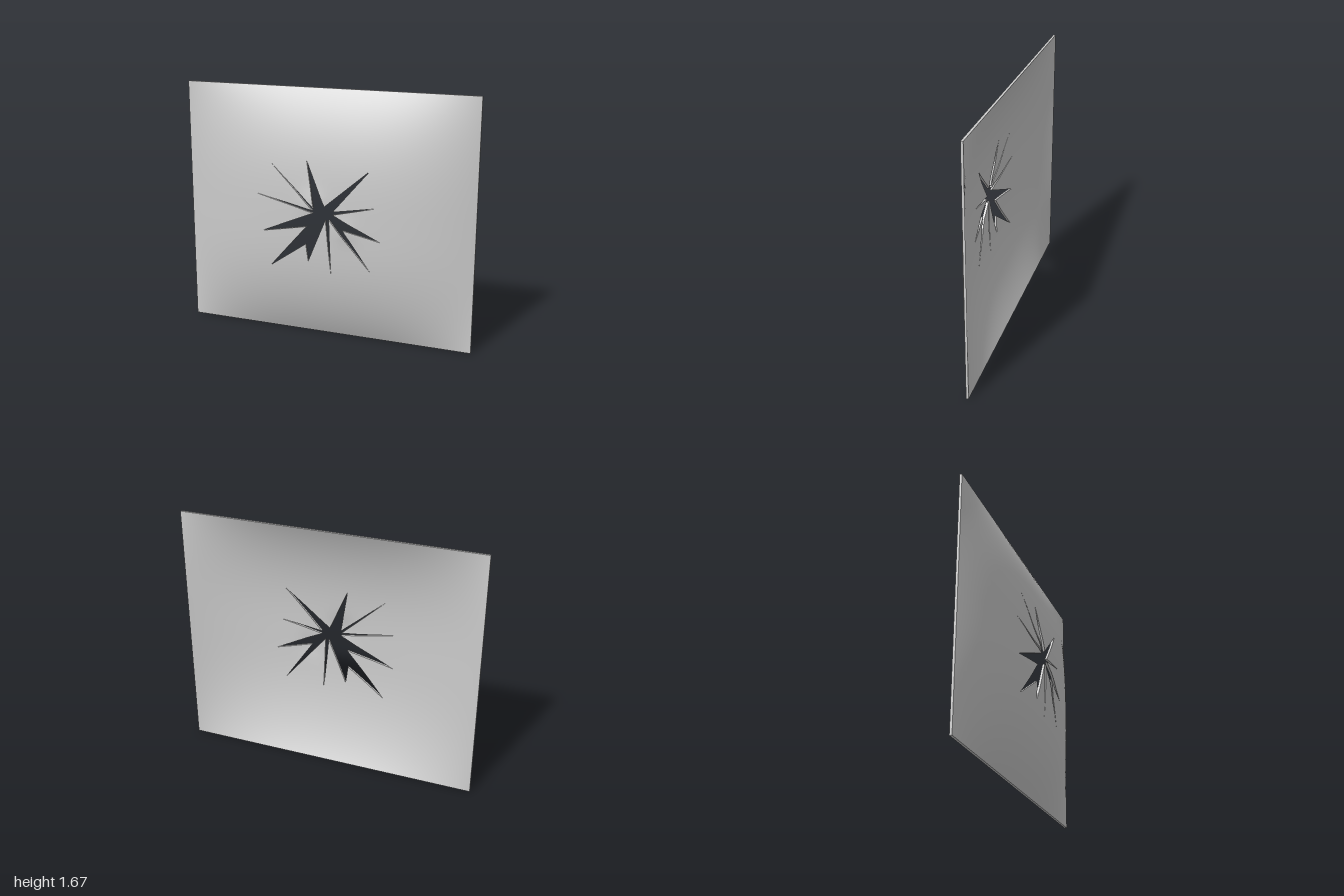
import * as THREE from 'three';

const H = 1.675, THICK = 0.016, MAX_EDGE = 0.07;

// Jagged burst opening, clockwise from the top spike (tip, notch, tip, ...)
const burst = [
  [-0.085, 1.225], [0.045, 0.935], [0.34, 1.187], [0.1, 0.905], [0.39, 0.953], [0.1, 0.885],
  [0.417, 0.73], [0.17, 0.79], [0.352, 0.52], [0.075, 0.85], [0.085, 0.47], [0.052, 0.848],
  [-0.073, 0.55], [-0.087, 0.67], [-0.345, 0.49], [-0.08, 0.79], [-0.4, 0.727], [-0.03, 0.888],
  [-0.445, 0.98], [-0.033, 0.905], [-0.345, 1.2], [-0.028, 0.92],
].map(([x, y]) => new THREE.Vector2(x, y));

const rim = [[-1, 0], [1, 0], [1, H], [-1, H]].map(([x, y]) => new THREE.Vector2(x, y));

// Bulging pillow surface, with small bumps where shards are bent forward
const bump = (x, y, cx, cy, h, r) => h * Math.exp(-((x - cx) ** 2 + (y - cy) ** 2) / (r * r));
function height(x, y) {
  const arch = (t) => 1 - Math.min(1, Math.abs(t)) ** 2.7;
  return -0.08 + 0.16 * arch(x) * arch((y - H / 2) / (H / 2))
    + bump(x, y, -0.04, 0.94, 0.015, 0.09) + bump(x, y, 0.18, 0.78, 0.01, 0.08);
}
function surfaceNormal(x, y) {
  const e = 0.004;
  const slope = (dx, dy) => {
    // one-sided at the rim, so the normals stay clean there
    const x0 = Math.max(-1, x - dx), x1 = Math.min(1, x + dx);
    const y0 = Math.max(0, y - dy), y1 = Math.min(H, y + dy);
    return (height(x1, y1) - height(x0, y0)) / (x1 - x0 + y1 - y0);
  };
  return new THREE.Vector3(-slope(e, 0), -slope(0, e), 1).normalize();
}

// Bisect the longest edge until every edge is short
function splitTriangle(a, b, c, out) {
  const ab = a.distanceTo(b), bc = b.distanceTo(c), ca = c.distanceTo(a);
  const longest = Math.max(ab, bc, ca);
  if (longest <= MAX_EDGE) { out.push(a, b, c); return; }
  if (longest === bc) [a, b, c] = [b, c, a];
  else if (longest === ca) [a, b, c] = [c, a, b];
  const m = a.clone().add(b).multiplyScalar(0.5);
  splitTriangle(a, m, c, out);
  splitTriangle(m, b, c, out);
}
function splitEdge(a, b, out) {
  if (a.distanceTo(b) <= MAX_EDGE) { out.push([a, b]); return; }
  const m = a.clone().add(b).multiplyScalar(0.5);
  splitEdge(a, m, out);
  splitEdge(m, b, out);
}

// Front or back skin of the panel
function skin(flat, back) {
  const pos = [], nor = [];
  for (let i = 0; i < flat.length; i += 3) {
    const tri = back ? [flat[i], flat[i + 2], flat[i + 1]] : flat.slice(i, i + 3);
    for (const p of tri) {
      const n = surfaceNormal(p.x, p.y).multiplyScalar(back ? -1 : 1);
      pos.push(p.x, p.y, height(p.x, p.y) - (back ? THICK : 0));
      nor.push(n.x, n.y, n.z);
    }
  }
  const g = new THREE.BufferGeometry();
  g.setAttribute('position', new THREE.Float32BufferAttribute(pos, 3));
  g.setAttribute('normal', new THREE.Float32BufferAttribute(nor, 3));
  return g;
}

// Thickness wall along a closed outline that keeps the material on its left
function wall(outline) {
  const edges = [], pos = [];
  outline.forEach((p, i) => splitEdge(p, outline[(i + 1) % outline.length], edges));
  for (const [a, b] of edges) {
    const za = height(a.x, a.y), zb = height(b.x, b.y);
    const aF = [a.x, a.y, za], bF = [b.x, b.y, zb];
    const aB = [a.x, a.y, za - THICK], bB = [b.x, b.y, zb - THICK];
    pos.push(...aB, ...bB, ...bF, ...aB, ...bF, ...aF);
  }
  const g = new THREE.BufferGeometry();
  g.setAttribute('position', new THREE.Float32BufferAttribute(pos, 3));
  g.computeVertexNormals();
  return g;
}

export function createModel() {
  const group = new THREE.Group();
  group.name = 'burstPanel';
  const material = new THREE.MeshStandardMaterial({ color: 0xcccccc });

  // Flat panel with the opening, cut into small triangles
  const shape = new THREE.Shape(rim);
  shape.holes.push(new THREE.Path(burst));
  const sheet = new THREE.ShapeGeometry(shape).toNonIndexed().attributes.position;
  const corner = (i) => new THREE.Vector2(sheet.getX(i), sheet.getY(i));
  const flat = [];
  for (let i = 0; i < sheet.count; i += 3) splitTriangle(corner(i), corner(i + 1), corner(i + 2), flat);

  const add = (name, geometry) => {
    const mesh = new THREE.Mesh(geometry, material);
    mesh.name = name;
    group.add(mesh);
  };
  add('frontSkin', skin(flat, false));
  add('backSkin', skin(flat, true));
  add('outerRim', wall(rim));
  add('openingEdge', wall(burst));
  return group;
}
